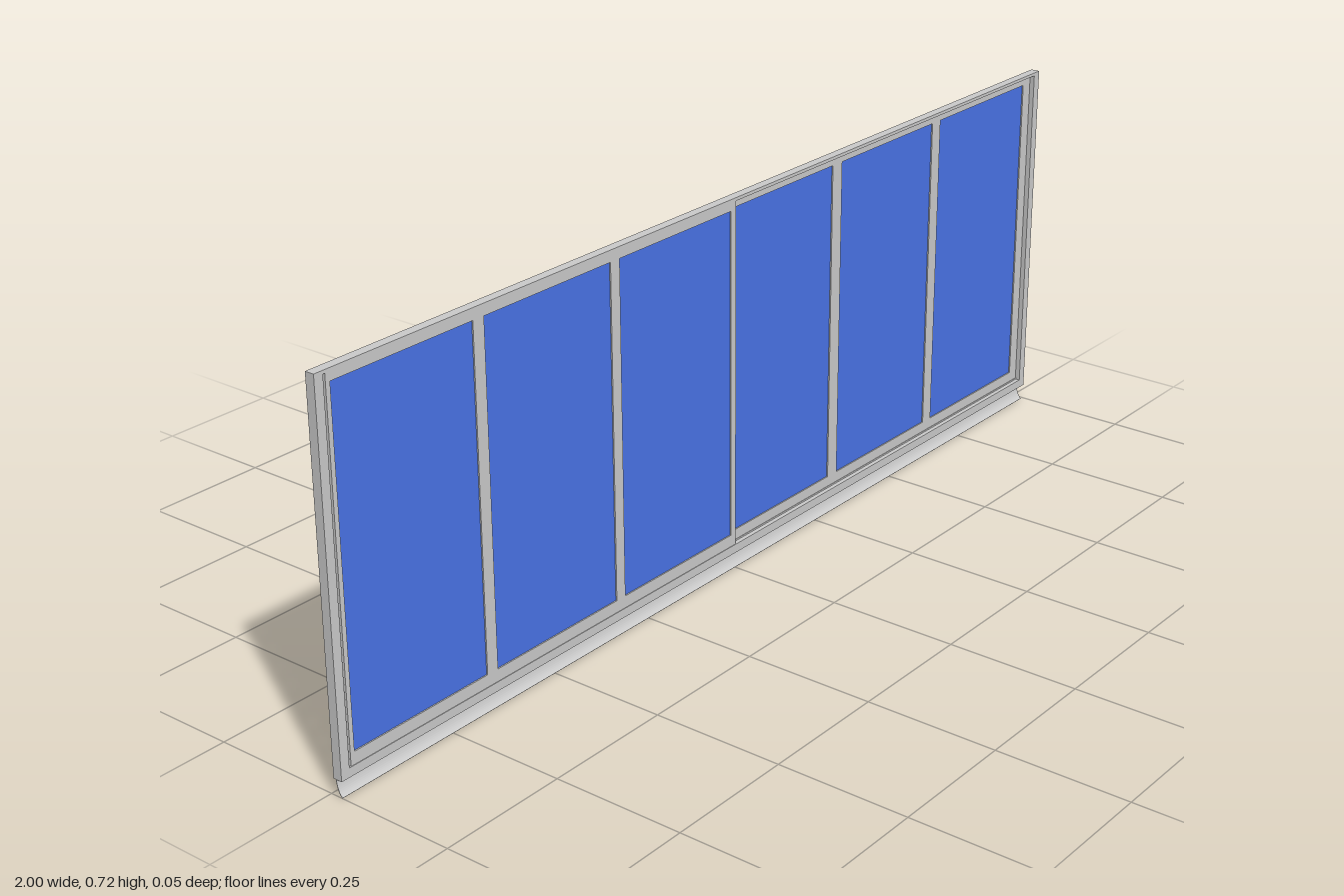
import * as THREE from 'three';
import { RoundedBoxGeometry } from 'three/addons/geometries/RoundedBoxGeometry.js';

const grey = new THREE.MeshStandardMaterial({ color: 0xcccccc });
const greyThin = new THREE.MeshStandardMaterial({ color: 0xcccccc, side: THREE.DoubleSide });
const blue = new THREE.MeshStandardMaterial({ color: 0x4a74e8 });

function add(parent, name, geometry, material = grey) {
  const mesh = new THREE.Mesh(geometry, material);
  mesh.name = name;
  parent.add(mesh);
  return mesh;
}

// Box given by its lower and upper limits on each axis
function slab(parent, name, [x0, x1], [y0, y1], [z0, z1], material) {
  const mesh = add(parent, name, new THREE.BoxGeometry(x1 - x0, y1 - y0, z1 - z0), material);
  mesh.position.set((x0 + x1) / 2, (y0 + y1) / 2, (z0 + z1) / 2);
  return mesh;
}

// Rectangular plate with rectangular openings, extruded from z0 to z1
function plate(parent, name, [x0, x1], [y0, y1], [z0, z1], openings) {
  const rect = (path, a, b, c, d) =>
    path.moveTo(a, c).lineTo(b, c).lineTo(b, d).lineTo(a, d).closePath();
  const shape = rect(new THREE.Shape(), x0, x1, y0, y1);
  for (const [[a, b], [c, d]] of openings) shape.holes.push(rect(new THREE.Path(), a, b, c, d));
  const mesh = add(parent, name,
    new THREE.ExtrudeGeometry(shape, { depth: z1 - z0, bevelEnabled: false }));
  mesh.position.z = z0;
  return mesh;
}

// Sliding sash: three panes held in a frame with two mullions
function sash(name, xRange, z, panes) {
  const group = new THREE.Group();
  group.name = name;
  const paneY = [0.07, 0.698];
  plate(group, 'sashFrame', xRange, [0.047, 0.714], [z - 0.0035, z + 0.0035],
    panes.map((p) => [p, paneY]));
  panes.forEach((p) => slab(group, 'pane', p, paneY, [z - 0.001, z + 0.001], blue));
  return group;
}

export function createModel() {
  const model = new THREE.Group();
  model.name = 'slidingWindow';

  // Outer frame with a raised track between the two sash planes
  const outerFrame = new THREE.Group();
  outerFrame.name = 'outerFrame';
  model.add(outerFrame);
  plate(outerFrame, 'frameSurround', [-1, 1], [0.03, 0.72], [0.007, 0.025],
    [[[-0.982, 0.982], [0.047, 0.714]]]);
  slab(outerFrame, 'bottomTrack', [-0.982, 0.982], [0.047, 0.05], [0.0155, 0.0165]);
  slab(outerFrame, 'topTrack', [-0.982, 0.982], [0.711, 0.714], [0.0155, 0.0165]);

  // Front sash on the right, rear sash on the left
  model.add(sash('frontSash', [-0.977, 0.002], 0.0203,
    [[-0.968, -0.664], [-0.639, -0.335], [-0.312, -0.012]]));
  model.add(sash('rearSash', [-0.012, 0.982], 0.0117,
    [[0.003, 0.302], [0.331, 0.629], [0.656, 0.957]]));

  // Curved drip skirt below the sill
  const curve = new THREE.QuadraticBezierCurve(
    new THREE.Vector2(0.013, 0.03), new THREE.Vector2(0.015, 0.009), new THREE.Vector2(0.025, 0.001));
  const outer = curve.getPoints(10);
  const inner = outer.map((p) => new THREE.Vector2(p.x - 0.0008, p.y - 0.001)).reverse();
  inner[0].y = 0;
  const skirt = add(model, 'dripSkirt', new THREE.ExtrudeGeometry(
    new THREE.Shape([...outer, ...inner]), { depth: 1.992, bevelEnabled: false }), greyThin);
  skirt.rotation.y = -Math.PI / 2;
  skirt.scale.z = -1;
  skirt.position.x = -1;

  // Long pull handle on the back of the sill
  const handle = new THREE.Group();
  handle.name = 'handle';
  model.add(handle);
  const bar = add(handle, 'handleBar', new RoundedBoxGeometry(0.67, 0.012, 0.009, 3, 0.004));
  bar.position.set(-0.003, 0.041, -0.0205);
  for (const x of [-0.329, 0.323]) {
    const leg = add(handle, 'handleLeg', new RoundedBoxGeometry(0.018, 0.012, 0.034, 3, 0.003));
    leg.position.set(x, 0.041, -0.008);
  }
  return model;
}
